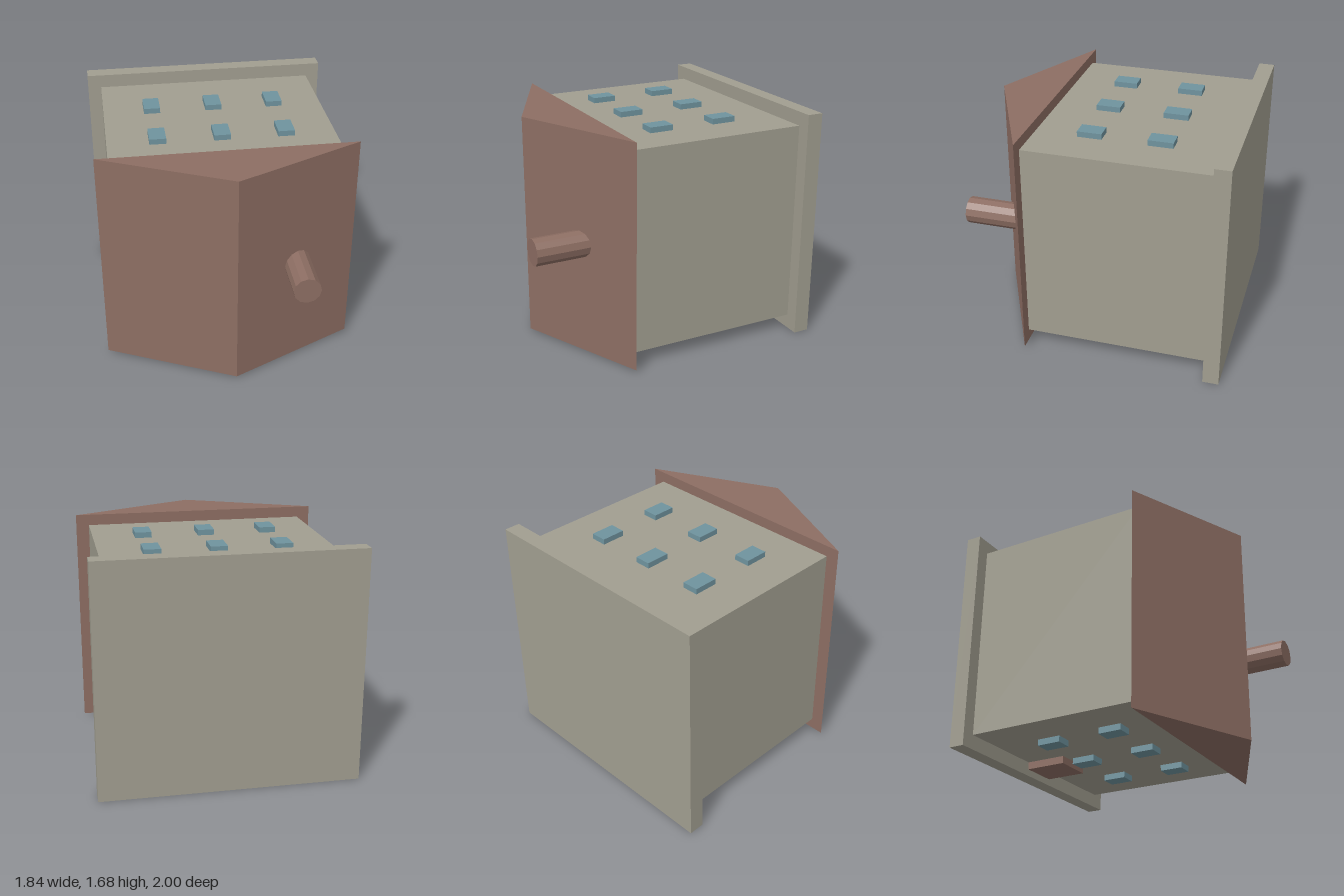
import * as THREE from 'three';

export function createModel() {
  const house = new THREE.Group();
  house.name = 'house';

  const paint = (name, color) => {
    const m = new THREE.MeshStandardMaterial({ color });
    m.name = name;
    m.flatShading = true;
    return m;
  };
  const stone = paint('stone', 0xa19e90);
  const brown = paint('brown', 0x8d6e63);
  const glass = paint('blueGlass', 0x6f939e);

  const add = (name, geometry, material) => {
    const mesh = new THREE.Mesh(geometry, material);
    mesh.name = name;
    house.add(mesh);
    return mesh;
  };
  // Box given by its extents along each axis
  const box = (name, material, [x0, x1], [y0, y1], [z0, z1]) => {
    const mesh = add(name, new THREE.BoxGeometry(x1 - x0, y1 - y0, z1 - z0), material);
    mesh.position.set((x0 + x1) / 2, (y0 + y1) / 2, (z0 + z1) / 2);
    return mesh;
  };

  // The house lies on its back, with its foundation at -z and its roof at +z
  box('foundation', stone, [-0.92, 0.92], [0, 1.68], [-1, -0.885]);
  box('walls', stone, [-0.82, 0.82], [0.105, 1.58], [-0.885, 0.44]);

  // Gable roof: a triangle extruded along y
  const gable = new THREE.Shape([
    new THREE.Vector2(-0.915, -0.44),
    new THREE.Vector2(0, -0.87),
    new THREE.Vector2(0.915, -0.44),
  ]);
  const roof = new THREE.ExtrudeGeometry(gable, { depth: 1.64, bevelEnabled: false });
  roof.rotateX(-Math.PI / 2);
  add('roof', roof, brown).position.y = 0.02;

  // Chimney through the left slope
  const chimney = new THREE.CylinderGeometry(0.098, 0.098, 0.45, 12);
  chimney.rotateX(Math.PI / 2);
  add('chimney', chimney, brown).position.set(0.46, 0.84, 0.775);

  // Door on the underside wall
  box('door', brown, [-0.14, 0.14], [0.05, 0.115], [-0.995, -0.575]);

  // Two rows of three windows on the upper and lower walls
  for (const y of [[1.54, 1.62], [0.06, 0.145]])
    for (const z of [[-0.54, -0.36], [-0.04, 0.135]])
      for (const x of [-0.46, 0, 0.46])
        box('window', glass, [x - 0.06, x + 0.06], y, z);

  return house;
}
